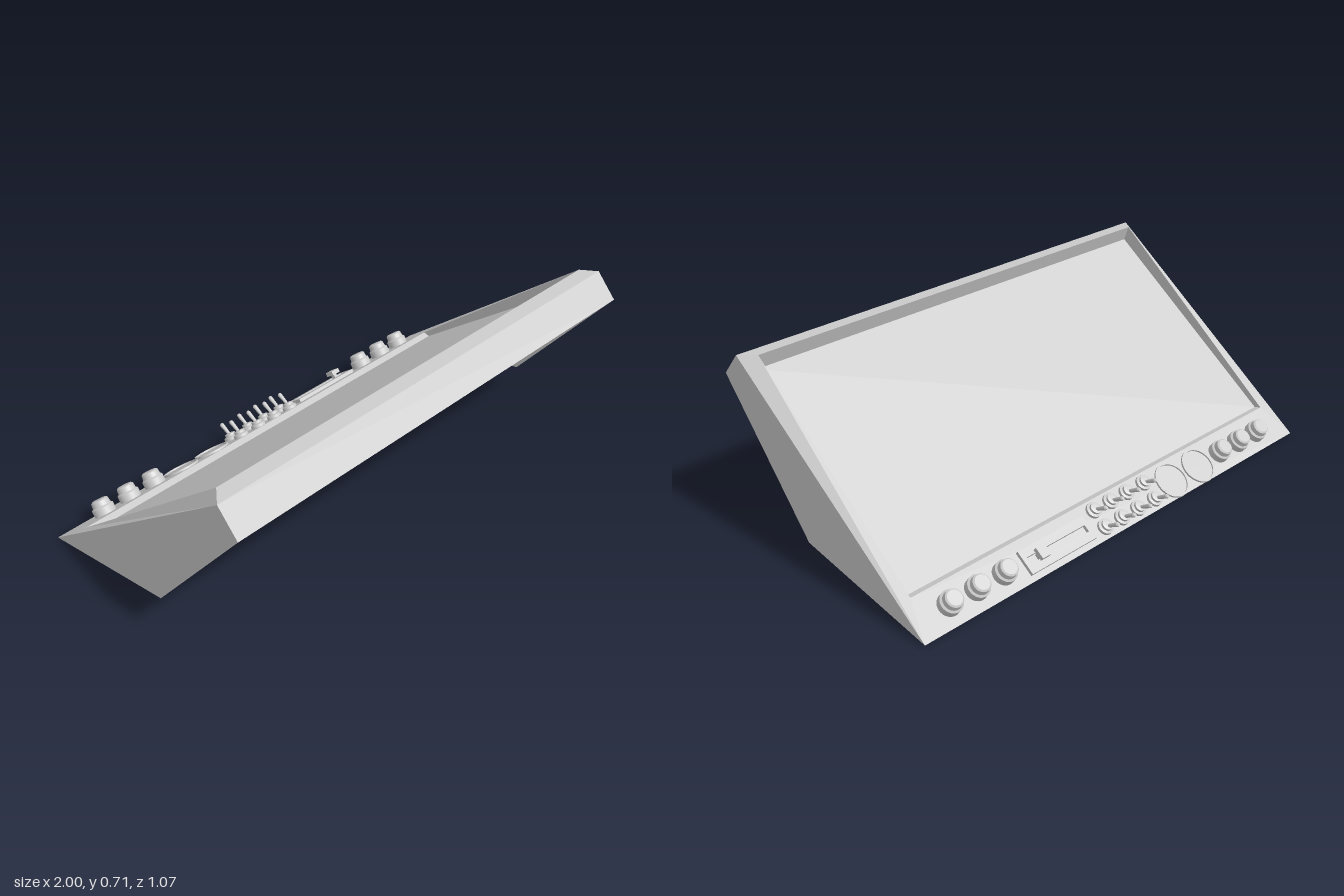
import * as THREE from 'three';

const sheet = new THREE.MeshStandardMaterial({ color: 0xcccccc, side: THREE.DoubleSide, flatShading: true });
const smooth = new THREE.MeshStandardMaterial({ color: 0xcccccc });

// flat four-sided sheet, corners anticlockwise as seen from its outer side
function quad(name, a, b, c, d) {
  const g = new THREE.BufferGeometry();
  g.setAttribute('position', new THREE.Float32BufferAttribute([...a, ...b, ...c, ...a, ...c, ...d], 3));
  g.computeVertexNormals();
  const m = new THREE.Mesh(g, sheet);
  m.name = name;
  return m;
}

function part(parent, name, geometry, x = 0, y = 0, z = 0) {
  const m = new THREE.Mesh(geometry, geometry.type === 'LatheGeometry' ? smooth : sheet);
  m.name = name;
  m.position.set(x, y, z);
  parent.add(m);
  return m;
}

// lathe with doubled profile points so that edges stay sharp
function turned(points, sides = 32) {
  const sharp = points.flatMap(([r, y], i) =>
    i > 0 && i < points.length - 1 ? [new THREE.Vector2(r, y), new THREE.Vector2(r, y + 1e-5)] : [new THREE.Vector2(r, y)]);
  return new THREE.LatheGeometry(sharp, sides);
}

export function createModel() {
  const model = new THREE.Group();
  model.name = 'controlConsole';

  // section points of the shell as [y, z]
  const foot = [0.003, -0.505], heel = [0.10, 0.11], brow = [0.607, 0.535], crest = [0.702, 0.45];
  const rimLow = [0.096, -0.378], rimHigh = [0.706, 0.39];
  const floorLow = [0.088, -0.35], floorHigh = [0.645, 0.412];
  const at = (x, p) => [x, ...p];
  const w = 0.95;

  // side plates, sloped bezel strips and recess walls, mirrored
  for (const s of [1, -1]) {
    const add = (name, ...p) => {
      if (s < 0) p.reverse();
      model.add(quad(name, ...p));
    };
    add('sidePlate', at(s, foot), at(s, crest), at(s, brow), at(s, heel));
    add('sideBezel', at(s, foot), at(s * w, rimLow), at(s * w, rimHigh), at(s, crest));
    add('recessSideWall', at(s * w, rimLow), at(s * w, floorLow), at(s * w, floorHigh), at(s * w, rimHigh));
  }

  // sheets spanning the full width
  const span = (name, p, xp, q, xq) => model.add(quad(name, at(-xp, p), at(-xq, q), at(xq, q), at(xp, p)));
  span('controlPanel', foot, 1, rimLow, w);
  span('recessLowerWall', rimLow, w, floorLow, w);
  span('screen', floorLow, w, floorHigh, w);
  span('recessUpperWall', floorHigh, w, rimHigh, w);
  span('topBezel', rimHigh, w, crest, 1);
  span('frontStrip', crest, 1, brow, 1);

  // controls: local y is out of the panel, local z runs up the slope
  const controls = new THREE.Group();
  controls.name = 'controls';
  controls.position.set(0, foot[0], foot[1]);
  controls.rotation.x = -Math.atan2(rimLow[0] - foot[0], rimLow[1] - foot[1]);
  model.add(controls);

  // rotary knobs
  const knob = turned([[0.043, -0.004], [0.043, 0.028], [0.036, 0.034], [0.034, 0.053], [0.028, 0.058], [0, 0.058]]);
  for (const x of [-0.82, -0.70, -0.58, 0.60, 0.725, 0.845]) part(controls, 'knob', knob, x, 0, 0.077);

  // round dials with thin raised rims
  const rim = turned([[0.074, -0.003], [0.074, 0.008], [0.067, 0.008], [0.067, 0.002], [0, 0.002]], 48);
  for (const x of [-0.445, -0.285]) part(controls, 'dial', rim, x, 0, 0.072);

  // two rows of toggle switches
  const collar = turned([[0.031, -0.004], [0.031, 0.012], [0.022, 0.016], [0.022, 0.026], [0.012, 0.028], [0, 0.028]], 24);
  const lever = turned([[0.006, 0], [0.009, 0.062], [0.006, 0.068], [0, 0.068]], 12);
  for (const x of [-0.155, -0.06, 0.03, 0.12]) {
    for (const z of [0.043, 0.117]) {
      part(controls, 'switchCollar', collar, x, 0, z);
      part(controls, 'switchLever', lever, x, 0.012, z).rotation.x = -0.42;
    }
  }

  // slider: frame with a slot, and a handle on a stem
  const frame = new THREE.Shape([[-0.163, -0.047], [0.163, -0.047], [0.163, 0.047], [-0.163, 0.047]]
    .map(p => new THREE.Vector2(...p)));
  frame.holes.push(new THREE.Path([[-0.145, -0.014], [-0.145, 0.014], [0.145, 0.014], [0.145, -0.014]]
    .map(p => new THREE.Vector2(...p))));
  const frameGeo = new THREE.ExtrudeGeometry(frame, { depth: 0.014, bevelEnabled: false }).rotateX(-Math.PI / 2);
  part(controls, 'sliderFrame', frameGeo, 0.347, 0, 0.07);
  part(controls, 'sliderStem', new THREE.BoxGeometry(0.014, 0.03, 0.02), 0.44, 0.015, 0.07);
  part(controls, 'sliderHandle', new THREE.BoxGeometry(0.04, 0.018, 0.045), 0.44, 0.037, 0.07);

  return model;
}
